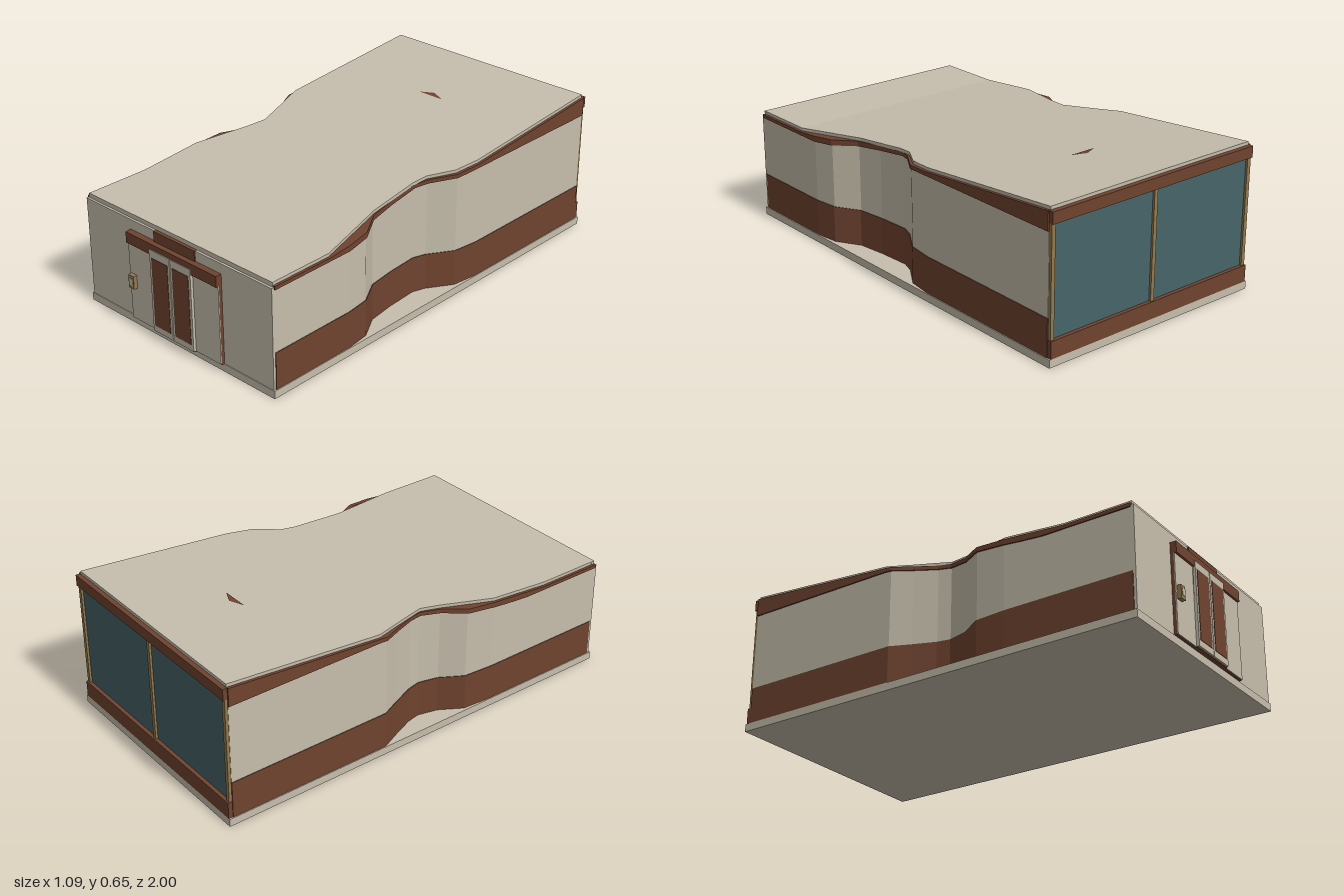
import * as THREE from 'three';

const mat = (name, color) => {
  const m = new THREE.MeshStandardMaterial({ color, side: THREE.DoubleSide, flatShading: true });
  m.name = name;
  return m;
};

// Piecewise-linear lookup through [key, value] pairs with falling keys
function lookup(pairs, k) {
  if (k >= pairs[0][0]) return pairs[0][1];
  for (let i = 1; i < pairs.length; i++) {
    const [a, u] = pairs[i - 1], [b, v] = pairs[i];
    if (k >= b) return u + (v - u) * (a - k) / (a - b);
  }
  return pairs[pairs.length - 1][1];
}

// Solid lofted through four-cornered cross-sections
function loft(sections) {
  const pos = [], idx = [];
  sections.forEach(s => s.forEach(p => pos.push(...p)));
  for (let i = 0; i < sections.length - 1; i++) {
    for (let j = 0; j < 4; j++) {
      const a = i * 4 + j, b = i * 4 + (j + 1) % 4;
      idx.push(a, a + 4, b, b, a + 4, b + 4);
    }
  }
  const e = (sections.length - 1) * 4;
  idx.push(0, 1, 2, 0, 2, 3, e, e + 2, e + 1, e, e + 3, e + 2);
  const g = new THREE.BufferGeometry();
  g.setAttribute('position', new THREE.Float32BufferAttribute(pos, 3));
  g.setIndex(idx);
  const flat = g.toNonIndexed();
  flat.computeVertexNormals();
  return flat;
}

// Side outlines from front to back, as [z, x]
const leftWall = [[0.95, 0.54], [0.54, 0.54], [0.43, 0.526], [0.32, 0.462], [0.19, 0.445],
  [0.04, 0.436], [-0.02, 0.455], [-0.13, 0.525], [-0.25, 0.54], [-0.98, 0.54]];
const rightWall = [[0.95, -0.54], [0.36, -0.54], [0.22, -0.53], [0.12, -0.47], [0.03, -0.448],
  [-0.03, -0.46], [-0.13, -0.5], [-0.22, -0.54], [-0.98, -0.54]];
const leftEave = [[0.95, 0.534], [0.65, 0.534], [0.31, 0.46], [0.05, 0.442], [-0.02, 0.45],
  [-0.13, 0.515], [-0.25, 0.534], [-0.98, 0.534]];
const rightEave = [[0.95, -0.534], [0.36, -0.534], [0.12, -0.465], [0.03, -0.446],
  [-0.13, -0.495], [-0.25, -0.534], [-0.98, -0.534]];
const roofLine = [[0.95, 0.505], [0.65, 0.505], [-0.98, 0.65]];
const trimLine = [[0.95, 0.475], [0.54, 0.475], [0.43, 0.485], [0.02, 0.53], [-0.25, 0.553], [-0.98, 0.553]];
const roofY = z => lookup(roofLine, z);
const trimY = z => lookup(trimLine, z);

// Upright strip along a side outline
function strip(outline, low, high, outset) {
  const zs = [...new Set([...outline, ...roofLine, ...trimLine].map(p => p[0]))].sort((a, b) => b - a);
  return loft(zs.map(z => {
    const x = lookup(outline, z), s = Math.sign(x);
    const o = x + s * outset, i = x - s * 0.012;
    return [[o, low(z), z], [o, high(z), z], [i, high(z), z], [i, low(z), z]];
  }));
}

// Sloping sheet between two side outlines
function sheet(left, right, drop, thick) {
  const zs = [...new Set([...left, ...right, ...roofLine].map(p => p[0]))].sort((a, b) => b - a);
  return loft(zs.map(z => {
    const l = lookup(left, z), r = lookup(right, z), t = roofY(z) - drop;
    return [[l, t - thick, z], [l, t, z], [r, t, z], [r, t - thick, z]];
  }));
}

export function createModel() {
  const stone = mat('warm stone', 0xc6beac);
  const brown = mat('rust brown', 0x70432f);
  const glass = mat('teal glass', 0x476468);
  const brass = mat('brass', 0x947a4e);

  const model = new THREE.Group();
  model.name = 'building';
  const add = (name, geo, material) => {
    const m = new THREE.Mesh(geo, material);
    m.name = name;
    model.add(m);
    return m;
  };
  // Box given by its limits on each axis
  const box = (name, material, x0, x1, y0, y1, z0, z1) =>
    add(name, new THREE.BoxGeometry(x1 - x0, y1 - y0, z1 - z0), material)
      .position.set((x0 + x1) / 2, (y0 + y1) / 2, (z0 + z1) / 2);

  // Base slab
  box('baseSlab', stone, -0.547, 0.547, 0, 0.035, -1, 0.965);

  // Curving side walls with a lower band and an upper trim
  for (const [side, outline] of [['left', leftWall], ['right', rightWall]]) {
    add(side + 'LowerBand', strip(outline, () => 0.035, () => 0.2, 0.003), brown);
    add(side + 'Wall', strip(outline, () => 0.2, z => trimY(z) + 0.003, 0), stone);
    add(side + 'Trim', strip(outline, trimY, z => roofY(z) - 0.014, 0.006), brown);
  }

  // Roof over its soffit, with a small arrow-shaped vent
  add('soffit', sheet(leftWall, rightWall, 0.015, 0.006), brown);
  add('roof', sheet(leftEave, rightEave, 0, 0.014), stone);
  const arrow = new THREE.BufferGeometry();
  arrow.setAttribute('position', new THREE.Float32BufferAttribute(
    [[-0.065, -0.573], [0.065, -0.573], [0, -0.603]].flatMap(([x, z]) => [x, roofY(z) + 0.003, z]), 3));
  arrow.computeVertexNormals();
  add('roofVent', arrow, brown);

  // Front wall and its coping
  box('frontWall', stone, -0.54, 0.54, 0.035, 0.485, 0.94, 0.962);
  box('frontCoping', stone, -0.535, 0.535, 0.485, 0.505, 0.935, 0.952);

  // Entrance surround: side panels, canopy and lintel
  for (const s of [-1, 1]) {
    const [a, b] = s < 0 ? [-0.265, -0.12] : [0.12, 0.265];
    box('entrancePanelCore', brown, a, b, 0.035, 0.39, 0.96, 0.976);
    box('entrancePanelFace', stone, a, b, 0.038, 0.39, 0.976, 0.98);
  }
  box('canopy', brown, -0.265, 0.265, 0.39, 0.44, 0.96, 0.99);
  box('lintel', brown, -0.12, 0.12, 0.44, 0.486, 0.945, 0.967);

  // Double doors
  for (const s of [-1, 1]) {
    const mid = s * 0.061;
    box('doorLeaf', stone, mid - 0.059, mid + 0.059, 0.04, 0.414, 0.965, 0.993);
    box('doorPane', brown, mid - 0.047, mid + 0.047, 0.068, 0.38, 0.992, 0.995);
  }
  box('doorGap', brown, -0.12, 0.12, 0.035, 0.41, 0.962, 0.985);

  // Entry keypad
  box('keypadFrame', brass, -0.256, -0.224, 0.19, 0.25, 0.978, 0.998);
  box('keypadFace', stone, -0.249, -0.229, 0.206, 0.236, 0.997, 1);

  // Glazed back wall with rails and posts
  box('backGlass', glass, -0.535, 0.535, 0.1, 0.6, -0.983, -0.975);
  box('backLowerRail', brown, -0.54, 0.54, 0.035, 0.11, -1, -0.97);
  box('backUpperRail', brown, -0.54, 0.54, 0.585, 0.635, -1, -0.97);
  for (const x of [-0.529, 0, 0.529]) box('backPost', brass, x - 0.009, x + 0.009, 0.11, 0.585, -0.993, -0.975);

  return model;
}
